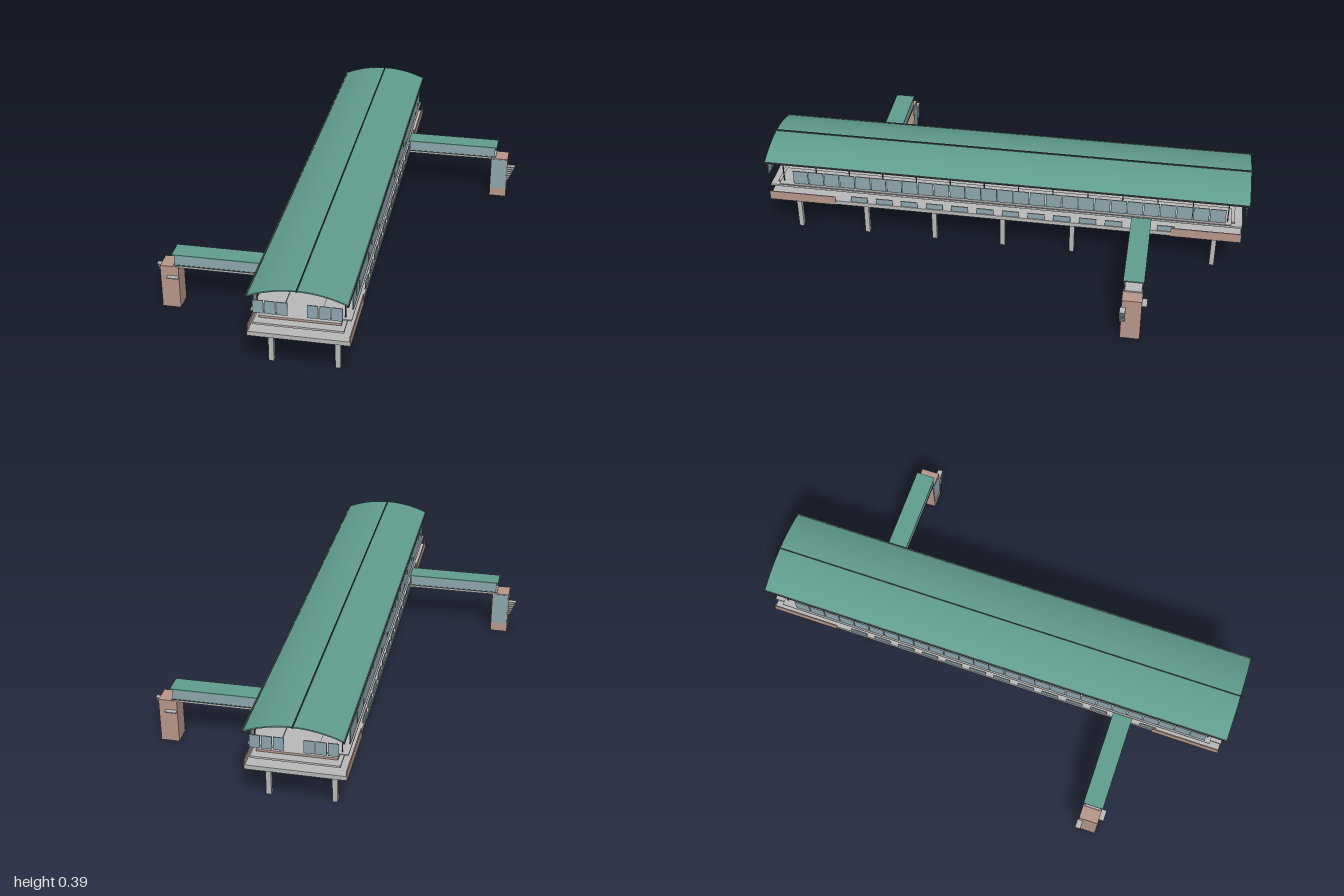
import * as THREE from 'three';

const mat = (name, color, side = THREE.FrontSide) => {
  const m = new THREE.MeshStandardMaterial({ color, side });
  m.name = name;
  return m;
};

export function createModel() {
  const green = mat('roofGreen', 0x619e90);
  const glass = mat('glass', 0x8fa7b0);
  const brick = mat('brick', 0xb8988a);
  const concrete = mat('concrete', 0xbababa);
  const dark = mat('darkMetal', 0x3f4c4a);
  const model = new THREE.Group();
  model.name = 'elevatedStation';

  // Box given by its minimum and maximum on each axis
  const box = (parent, name, m, x0, x1, y0, y1, z0, z1) => {
    const mesh = new THREE.Mesh(new THREE.BoxGeometry(x1 - x0, y1 - y0, z1 - z0), m);
    mesh.position.set((x0 + x1) / 2, (y0 + y1) / 2, (z0 + z1) / 2);
    mesh.name = name;
    parent.add(mesh);
    return mesh;
  };
  const part = (name) => {
    const g = new THREE.Group();
    g.name = name;
    model.add(g);
    return g;
  };

  // Piers: paired columns with a cross beam
  const piers = part('piers');
  for (let i = -3; i <= 3; i++) {
    const z = i * 0.289;
    for (const x of [-0.125, 0.125]) {
      box(piers, 'column', concrete, x - 0.01, x + 0.01, 0, 0.165, z - 0.01, z + 0.01);
    }
    box(piers, 'crossBeam', concrete, -0.162, 0.162, 0.16, 0.172, z - 0.012, z + 0.012);
  }

  // Stacked decks
  const decks = part('decks');
  box(decks, 'mainSlab', concrete, -0.185, 0.185, 0.17, 0.188, -0.97, 0.97);
  box(decks, 'trackSlab', concrete, -0.165, 0.165, 0.222, 0.23, -0.97, 0.97);
  box(decks, 'trackBed', brick, -0.15, 0.15, 0.233, 0.24, -0.94, 0.94);
  box(decks, 'trackBedTop', concrete, -0.15, 0.15, 0.24, 0.242, -0.94, 0.94);
  for (const s of [-1, 1]) {
    box(decks, 'platform', concrete, s * 0.1275 - 0.0575, s * 0.1275 + 0.0575, 0.246, 0.251, -0.925, 0.925);
    for (const e of [-1, 1]) {
      box(decks, 'brickParapet', brick, s * 0.187 - 0.002, s * 0.187 + 0.002, 0.17, 0.21,
        e * 0.83 - 0.14, e * 0.83 + 0.14);
    }
  }

  // Window bands along both long sides
  const windows = part('sideWindows');
  for (const s of [-1, 1]) {
    for (let i = 0; i < 27; i++) {
      const z = s * (0.833 - i * 0.0655);
      box(windows, 'platformWindow', glass, s * 0.178 - 0.002, s * 0.178 + 0.002, 0.255, 0.316, z - 0.031, z + 0.031);
    }
    for (let i = 0; i < 13; i++) {
      const z = s * (0.59 - i * 0.105);
      box(windows, 'concourseWindow', glass, s * 0.182 - 0.002, s * 0.182 + 0.002, 0.19, 0.215, z - 0.035, z + 0.035);
    }
  }

  // Three hanging panes on each side of both ends
  const endWindows = part('endWindows');
  for (const z of [-0.98, 0.975]) {
    for (const s of [-1, 1]) {
      for (let i = 0; i < 3; i++) {
        const x = s * (0.055 + i * 0.0435);
        box(endWindows, 'endWindow', glass, x - 0.0195, x + 0.0195, 0.277, 0.33, z - 0.002, z + 0.002);
      }
    }
  }

  // Arched roof sheet
  const R = 0.445, top = 0.387, half = Math.asin(0.182 / R);
  const arcY = (x) => top - R + Math.sqrt(R * R - x * x);
  const profile = new THREE.Shape();
  profile.absarc(0, top - R, R, Math.PI / 2 - half, Math.PI / 2 + half, false);
  profile.absarc(0, top - R, R - 0.005, Math.PI / 2 + half, Math.PI / 2 - half, true);
  profile.closePath();
  const roof = new THREE.Mesh(
    new THREE.ExtrudeGeometry(profile, { depth: 1.97, bevelEnabled: false, curveSegments: 12 }), green);
  roof.position.z = -0.99;
  roof.name = 'archedRoof';
  model.add(roof);

  // Ridge, gutters and roof frames
  const frame = part('roofFrame');
  box(frame, 'ridge', dark, -0.002, 0.002, 0.385, 0.392, -1, 0.99);
  for (const s of [-1, 1]) {
    box(frame, 'gutter', dark, s * 0.183 - 0.003, s * 0.183 + 0.003, 0.345, 0.351, -1, 0.99);
  }
  for (let i = 0; i < 14; i++) {
    const z = -0.91 + i * 0.14;
    box(frame, 'tieBeam', dark, -0.16, 0.16, 0.344, 0.348, z - 0.002, z + 0.002);
    for (const s of [-1, 1]) {
      box(frame, 'post', dark, s * 0.16 - 0.002, s * 0.16 + 0.002, 0.25, arcY(0.16) - 0.003, z - 0.002, z + 0.002);
      for (const x of [0.045, 0.1]) {
        const strut = box(frame, 'strut', dark, s * x - 0.001, s * x + 0.001, 0.346, arcY(x) - 0.004, z - 0.002, z + 0.002);
        strut.rotation.z = -s * 0.25;
      }
    }
  }

  // Access bridge and lift tower, repeated by a half turn
  for (const s of [1, -1]) {
    const access = part(s > 0 ? 'leftAccess' : 'rightAccess');
    if (s < 0) access.rotation.y = Math.PI;
    access.position.z = -0.005;
    const z = -0.565;
    box(access, 'bridgeFloor', concrete, 0.185, 0.575, 0.182, 0.192, z - 0.036, z + 0.036);
    box(access, 'bridgeRoof', green, 0.18, 0.578, 0.236, 0.241, z - 0.04, z + 0.04);
    for (const e of [-1, 1]) {
      box(access, 'bridgeGlass', glass, 0.187, 0.57, 0.192, 0.236, z + e * 0.034 - 0.002, z + e * 0.034 + 0.002);
      box(access, 'bridgeRail', dark, 0.187, 0.57, 0.19, 0.194, z + e * 0.037 - 0.001, z + e * 0.037 + 0.001);
    }
    box(access, 'tower', brick, 0.555, 0.628, 0, 0.186, z - 0.038, z + 0.038);
    box(access, 'towerGlass', glass, 0.56, 0.624, 0.04, 0.183, z + 0.037, z + 0.0395);

    // Stepped slats, longer towards the top
    for (let i = 0; i < 7; i++) {
      const y = 0.09 + i * 0.01, reach = 0.008 + i * 0.004;
      box(access, 'stepSlat', concrete, 0.627, 0.63 + reach, y, y + 0.003, z + 0.022, z + 0.044);
    }
    box(access, 'sideLedge', concrete, 0.555, 0.6, 0.14, 0.144, z - 0.057, z - 0.037);
  }
  return model;
}
